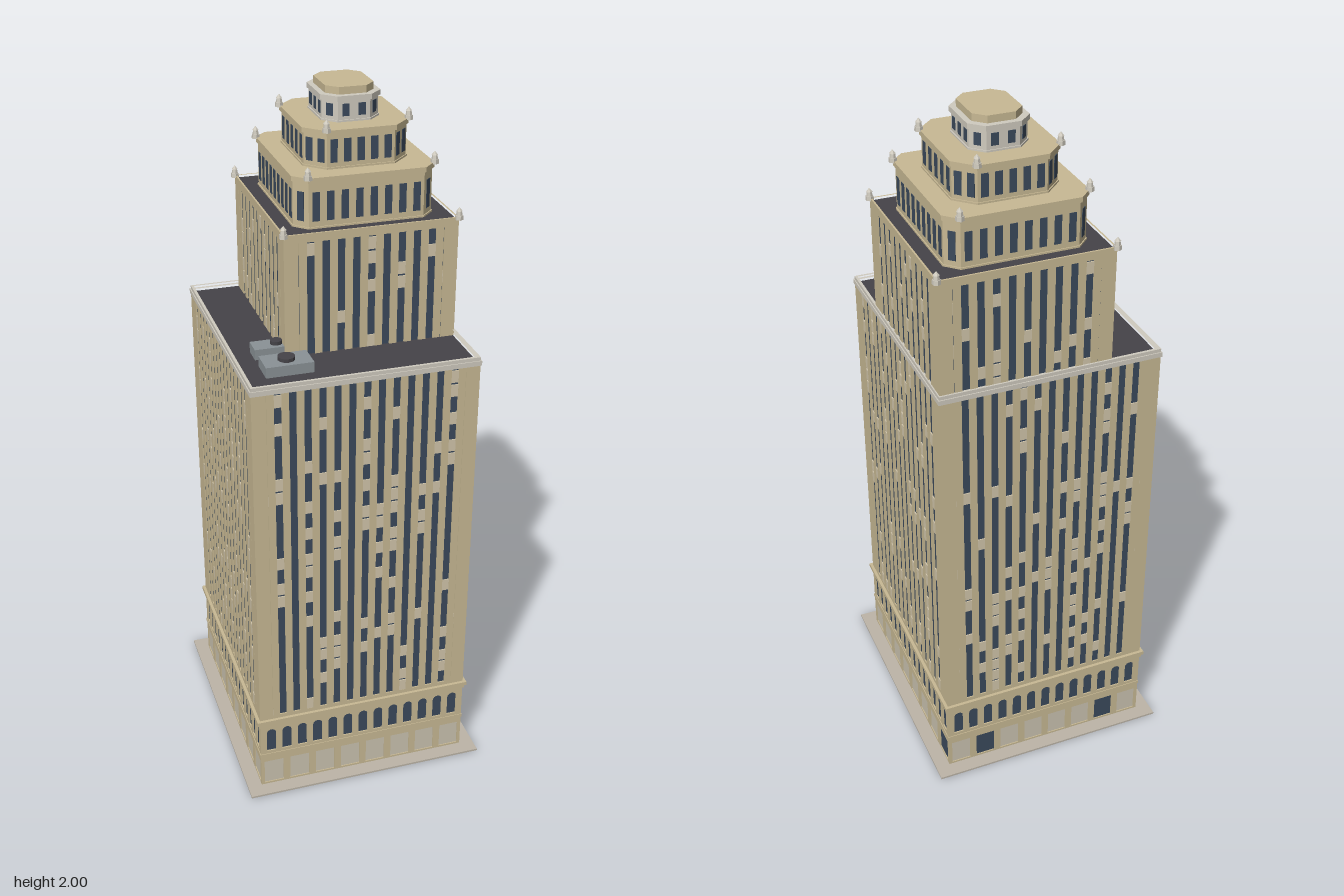
import * as THREE from 'three';
import { mergeGeometries } from 'three/addons/utils/BufferGeometryUtils.js';

const mat = (color) => new THREE.MeshStandardMaterial({ color, flatShading: true });
const M = {
  stone: mat(0xc8b994), pale: mat(0xd2c6ab), trim: mat(0xd0cbbf), glass: mat(0x3b4a5c),
  roof: mat(0x454348), pave: mat(0xbdb5a8), metal: mat(0x8a9296), shop: mat(0xcbc3b0),
};

let seed = 7;
const rand = () => (seed = (seed * 16807) % 2147483647) / 2147483647;

function add(parent, name, geo, material, x = 0, y = 0, z = 0) {
  const m = new THREE.Mesh(geo, material);
  m.name = name;
  m.position.set(x, y, z);
  parent.add(m);
  return m;
}

// Box spanning heights y0..y1
function box(w, d, y0, y1, x = 0, z = 0) {
  return new THREE.BoxGeometry(w, y1 - y0, d).translate(x, (y0 + y1) / 2, z);
}

// Upright prism from an outline in x/z, with an optional hole
function prism(pts, y0, y1, hole) {
  const toV = (p) => p.map(([x, z]) => new THREE.Vector2(x, -z));
  const s = new THREE.Shape(toV(pts));
  if (hole) s.holes.push(new THREE.Path(toV(hole)));
  return new THREE.ExtrudeGeometry(s, { depth: y1 - y0, bevelEnabled: false })
    .rotateX(-Math.PI / 2).translate(0, y0, 0);
}

const rect = (a, b) => [[a, -b], [a, b], [-a, b], [-a, -b]];
const octagon = (a, b, c) => [
  [a, c - b], [a, b - c], [a - c, b], [c - a, b],
  [-a, b - c], [-a, c - b], [c - a, -b], [a - c, -b],
];

// Calls fn for each wall of a rectangular block, in a frame whose +z faces outward
function fourSides(parent, name, a, b, fn) {
  for (let i = 0; i < 4; i++) {
    const side = new THREE.Group();
    side.name = name + ['Front', 'Right', 'Back', 'Left'][i];
    side.rotation.y = (i * Math.PI) / 2;
    parent.add(side);
    fn(side, i % 2 ? b : a, i % 2 ? a : b, i);
  }
}

// Piers, window strips and scattered pale spandrels on all four walls
function stripWalls(parent, name, a, b, y0, y1, colsA, colsB, floors) {
  fourSides(parent, name, a, b, (side, half, dist, i) => {
    const n = i % 2 ? colsB : colsA;
    const pitch = (2 * half - 0.02) / n, fh = (y1 - y0) / floors;
    const piers = [], glass = [], spandrels = [];
    for (let k = 0; k <= n; k++) {
      const u = (k - n / 2) * pitch;
      const w = k === 0 || k === n ? 0.04 : pitch * 0.5;
      const shift = k === 0 ? 0.01 : k === n ? -0.01 : 0;
      piers.push(box(w, 0.005, y0, y1, u + shift, dist - 0.0025));
      if (k === n) break;
      const c = u + pitch / 2;
      glass.push(box(pitch * 0.6, 0.001, y0, y1, c, dist - 0.0042));
      const chance = k % 2 ? 0.3 : 0.1;
      for (let f = 0; f < floors; f++) {
        if (rand() < chance) {
          spandrels.push(box(pitch * 0.56, 0.004, y0 + f * fh, y0 + (f + 0.85) * fh, c, dist - 0.0025));
        }
      }
    }
    add(side, 'piers', mergeGeometries(piers), M.stone);
    add(side, 'windowStrips', mergeGeometries(glass), M.glass);
    if (spandrels.length) add(side, 'spandrels', mergeGeometries(spandrels), M.pale);
  });
}

// Small six-sided pointed corner ornament
function finial(parent, x, y, z) {
  const g = new THREE.Group();
  g.name = 'finial';
  g.position.set(x, y, z);
  add(g, 'finialBase', new THREE.CylinderGeometry(0.011, 0.012, 0.012, 6), M.trim, 0, 0.002, 0);
  add(g, 'finialShaft', new THREE.CylinderGeometry(0.007, 0.009, 0.012, 6), M.trim, 0, 0.014, 0);
  add(g, 'finialTip', new THREE.ConeGeometry(0.009, 0.011, 6), M.trim, 0, 0.0255, 0);
  parent.add(g);
}

// Chamfered setback with a row of windows and a cornice
function setback(parent, name, a, b, c, y0, y1, w0, w1, wall, withFinials) {
  const g = new THREE.Group();
  g.name = name;
  parent.add(g);
  const pts = octagon(a - 0.005, b - 0.005, c - 0.002);
  add(g, 'walls', prism(pts, y0, y1 - 0.004), wall);
  add(g, 'cornice', prism(octagon(a, b, c), y1 - 0.014, y1), wall);
  add(g, 'baseCourse', prism(octagon(a - 0.002, b - 0.002, c), y0, y0 + 0.01), wall);
  const windows = [];
  pts.forEach(([x0, z0], i) => {
    const [x1, z1] = pts[(i + 1) % 8];
    const len = Math.hypot(x1 - x0, z1 - z0);
    const n = Math.max(1, Math.round(len / 0.04));
    for (let k = 0; k < n; k++) {
      const t = (k + 0.5) / n;
      windows.push(box(0.02, 0.003, w0, w1)
        .rotateY(Math.atan2(z1 - z0, x0 - x1))
        .translate(0, 0, 0)
        .rotateY(0)
        .translate(x0 + (x1 - x0) * t, 0, z0 + (z1 - z0) * t));
    }
  });
  add(g, 'windows', mergeGeometries(windows), M.glass);
  if (withFinials) octagon(a, b, c).forEach(([x, z], i) => { if (i % 2) finial(g, x, y1, z); });
}

// Street-level masonry with shopfront openings and an arcade of arched windows
function arcade(parent, a, b) {
  fourSides(parent, 'base', a, b, (side, half, dist, i) => {
    const wall = new THREE.Shape(rect(half, 1).map(([x, s]) => new THREE.Vector2(x, s < 0 ? 0.004 : 0.235)));
    const bays = 8, bw = (2 * half) / bays;
    const panels = [], doors = [];
    for (let k = 0; k < bays; k++) {
      const c = (k - (bays - 1) / 2) * bw, h = bw * 0.37;
      wall.holes.push(new THREE.Path([[c - h, 0.012], [c - h, 0.092], [c + h, 0.092], [c + h, 0.012]]
        .map((p) => new THREE.Vector2(...p))));
      const isDoor = (i === 1 && k === 7) || (i === 2 && (k === 1 || k === 6));
      (isDoor ? doors : panels).push(box(2 * h + 0.004, 0.002, 0.01, 0.094, c, dist - 0.004));
    }
    const n = i % 2 ? 15 : 13, pitch = (2 * half - 0.02) / n, r = pitch * 0.3;
    for (let k = 0; k < n; k++) {
      const c = (k - (n - 1) / 2) * pitch;
      const p = new THREE.Path();
      p.moveTo(c - r, 0.132).lineTo(c + r, 0.132).lineTo(c + r, 0.197);
      p.absarc(c, 0.197, r, 0, Math.PI, false);
      p.lineTo(c - r, 0.132);
      wall.holes.push(p);
    }
    add(side, 'masonry', new THREE.ExtrudeGeometry(wall, { depth: 0.006, bevelEnabled: false, curveSegments: 5 }),
      M.stone, 0, 0, dist - 0.006);
    add(side, 'archGlass', box(2 * half - 0.02, 0.002, 0.126, 0.225, 0, dist - 0.005), M.glass);
    add(side, 'shopfronts', mergeGeometries(panels), M.shop);
    if (doors.length) add(side, 'doors', mergeGeometries(doors), M.glass);
    add(side, 'stringCourse', box(2 * half + 0.004, 0.006, 0.112, 0.122, 0, dist - 0.001), M.stone);
  });
}

export function createModel() {
  const root = new THREE.Group();
  root.name = 'skyscraper';
  const b = new THREE.Group();
  b.name = 'building';
  b.rotation.y = 0.15;
  root.add(b);

  // Pavement, main block and its roof edge
  const A = 0.319, D = 0.358;
  add(b, 'pavement', box(0.722, 0.802, 0, 0.006), M.pave);
  add(b, 'mainCore', box(2 * A - 0.01, 2 * D - 0.01, 0.004, 1.32), M.stone);
  arcade(b, A, D);
  add(b, 'beltLower', box(2 * A + 0.008, 2 * D + 0.008, 0.226, 0.238), M.stone);
  add(b, 'beltUpper', box(2 * A + 0.018, 2 * D + 0.018, 0.238, 0.25), M.stone);
  add(b, 'sillBand', box(2 * A, 2 * D, 0.25, 0.262), M.stone);
  stripWalls(b, 'shaft', A, D, 0.262, 1.318, 15, 17, 25);
  add(b, 'parapet', prism(rect(A, D), 1.316, 1.342, rect(0.311, 0.35)), M.trim);
  add(b, 'parapetBand', prism(rect(A + 0.003, D + 0.003), 1.318, 1.332, rect(0.312, 0.351)), M.trim);
  add(b, 'mainRoof', box(0.626, 0.704, 1.315, 1.325), M.roof);

  // Roof cooling units
  for (const [z, d, r] of [[0.2405, 0.078, 0.024], [0.136, 0.056, 0.017]]) {
    add(b, 'coolingUnit', box(0.133, d, 1.325, 1.355, -0.19, z), M.metal);
    add(b, 'coolingFan', new THREE.CylinderGeometry(r, r, 0.012, 12), M.roof, -0.19, 1.359, z);
  }

  // Upper tower, set toward the back right corner
  const tower = new THREE.Group();
  tower.name = 'tower';
  tower.position.set(0.071, 0, -0.0915);
  b.add(tower);
  const a2 = 0.2445, d2 = 0.2615;
  add(tower, 'towerCore', box(2 * a2 - 0.01, 2 * d2 - 0.01, 1.32, 1.655), M.stone);
  stripWalls(tower, 'tower', a2, d2, 1.325, 1.65, 11, 12, 8);
  add(tower, 'towerParapet', prism(rect(a2, d2), 1.648, 1.672, rect(a2 - 0.005, d2 - 0.005)), M.stone);
  add(tower, 'towerRoof', box(2 * a2 - 0.008, 2 * d2 - 0.008, 1.65, 1.665), M.roof);
  for (const [x, z] of rect(a2, d2)) finial(tower, x, 1.67, z);

  // Chamfered crown
  setback(tower, 'lowerCrown', 0.2, 0.217, 0.036, 1.66, 1.805, 1.685, 1.765, M.stone, true);
  setback(tower, 'middleCrown', 0.149, 0.163, 0.052, 1.8, 1.91, 1.822, 1.885, M.stone, true);
  setback(tower, 'lantern', 0.084, 0.1, 0.036, 1.905, 1.98, 1.925, 1.958, M.trim, false);
  add(tower, 'lanternCap', prism(octagon(0.068, 0.084, 0.03), 1.978, 2.0), M.stone);
  return root;
}
